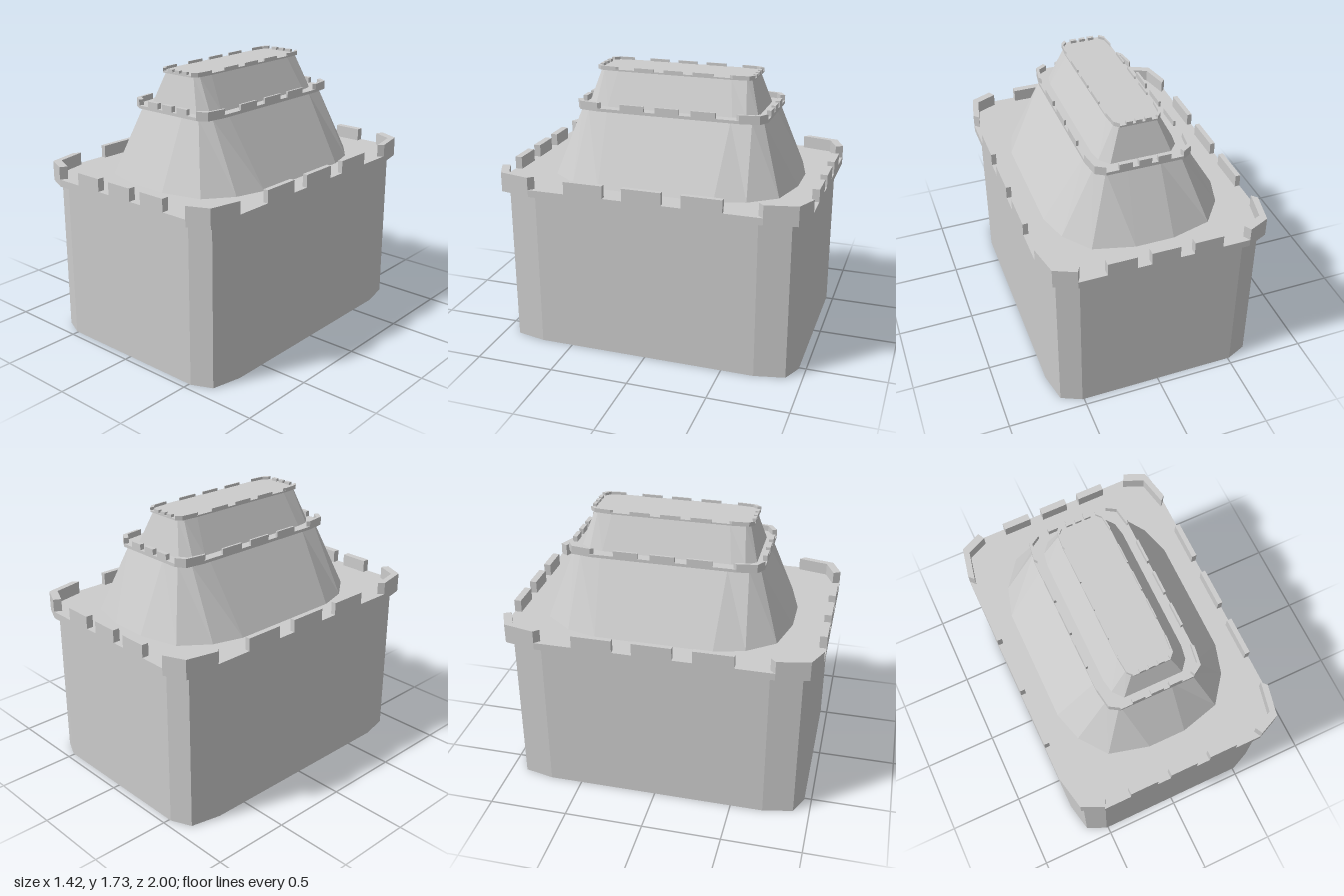
import * as THREE from 'three';

const material = new THREE.MeshStandardMaterial({ color: 0xcccccc, flatShading: true });

// Solid between two matching [x, z] outlines at heights y0 and y1
function loft(name, bottom, top, y0, y1) {
  if (THREE.ShapeUtils.area(bottom.map(p => new THREE.Vector2(...p))) < 0) {
    bottom = [...bottom].reverse();
    top = [...top].reverse();
  }
  const pos = [];
  const tri = (...corners) => corners.forEach(([p, y]) => pos.push(p[0], y, p[1]));
  const n = bottom.length;
  for (let i = 0; i < n; i++) {
    const j = (i + 1) % n;
    const a = [bottom[i], y0], b = [bottom[j], y0], c = [top[j], y1], d = [top[i], y1];
    tri(a, c, b);
    tri(a, d, c);
  }
  const flat = bottom.map(p => new THREE.Vector2(...p));
  for (let [i, j, k] of THREE.ShapeUtils.triangulateShape(flat, [])) {
    if (THREE.ShapeUtils.area([flat[i], flat[j], flat[k]]) < 0) [j, k] = [k, j];
    tri([bottom[i], y0], [bottom[j], y0], [bottom[k], y0]);
    tri([top[i], y1], [top[k], y1], [top[j], y1]);
  }
  const geometry = new THREE.BufferGeometry();
  geometry.setAttribute('position', new THREE.Float32BufferAttribute(pos, 3));
  geometry.computeVertexNormals();
  const mesh = new THREE.Mesh(geometry, material);
  mesh.name = name;
  return mesh;
}

const prism = (name, outline, y0, y1) => loft(name, outline, outline, y0, y1);

// Mirror one corner (running from the x side to the z side) into a full outline
function outline(corner, hx = 1, hz = 1, cz = 0) {
  const back = [...corner].reverse();
  return [
    ...corner.map(([x, z]) => [x, z]),
    ...back.map(([x, z]) => [-x, z]),
    ...corner.map(([x, z]) => [-x, -z]),
    ...back.map(([x, z]) => [x, -z]),
  ].map(([x, z]) => [x * hx, z * hz + cz]);
}

const CORNER = [[1, 0.74], [0.94, 0.94], [0.752, 1]];
const INSET = 0.955;

// Overhanging slab with a ring of merlons; hx, hz are half sizes
function parapet(name, hx, hz, cz, y0, floor, y1) {
  const group = new THREE.Group();
  group.name = name;
  const place = pts => pts.map(([x, z]) => [x * hx, z * hz + cz]);
  const merlon = pts => group.add(prism('merlon', place(pts), floor, y1));

  group.add(prism('walkway', outline(CORNER, hx, hz, cz), y0, floor));
  for (const sx of [1, -1]) {
    for (const sz of [1, -1]) {
      const outer = CORNER.map(([x, z]) => [x * sx, z * sz]);
      merlon([...outer, ...outer.map(([x, z]) => [x * INSET, z * INSET]).reverse()]);
    }
  }
  for (const s of [1, -1]) {
    for (const [a, b] of [[-0.505, -0.25], [-0.125, 0.125], [0.25, 0.505]]) {
      merlon([[a, s], [b, s], [b, s * INSET], [a, s * INSET]]);
      const [c, d] = [a * 0.99, b * 0.99];
      merlon([[s, c], [s, d], [s * INSET, d], [s * INSET, c]]);
    }
  }
  return group;
}

export function createModel() {
  const model = new THREE.Group();
  model.name = 'tieredTower';

  // Main block
  model.add(prism('baseBlock', outline(CORNER, 0.68, 0.955), 0, 1.01));
  model.add(parapet('lowerParapet', 0.71, 1, 0, 1.01, 1.055, 1.135));

  // Rounded middle tier tapering to the second parapet
  model.add(loft('middleTier',
    outline([[0.555, 0.37], [0.5, 0.56], [0.37, 0.73], [0.12, 0.795]], 1, 1, -0.03),
    outline([[0.3, 0.4], [0.288, 0.53], [0.232, 0.59], [0.1, 0.592]], 1, 1, -0.03),
    1.055, 1.48));
  model.add(parapet('middleParapet', 0.317, 0.618, -0.03, 1.478, 1.497, 1.533));

  // Upper tier and crown
  model.add(loft('upperTier',
    outline([[0.255, 0.405], [0.24, 0.49], [0.188, 0.553]], 1, 1, -0.022),
    outline([[0.146, 0.37], [0.138, 0.465], [0.112, 0.492]], 1, 1, -0.02),
    1.497, 1.706));
  model.add(parapet('upperParapet', 0.154, 0.515, -0.018, 1.704, 1.714, 1.731));

  return model;
}
